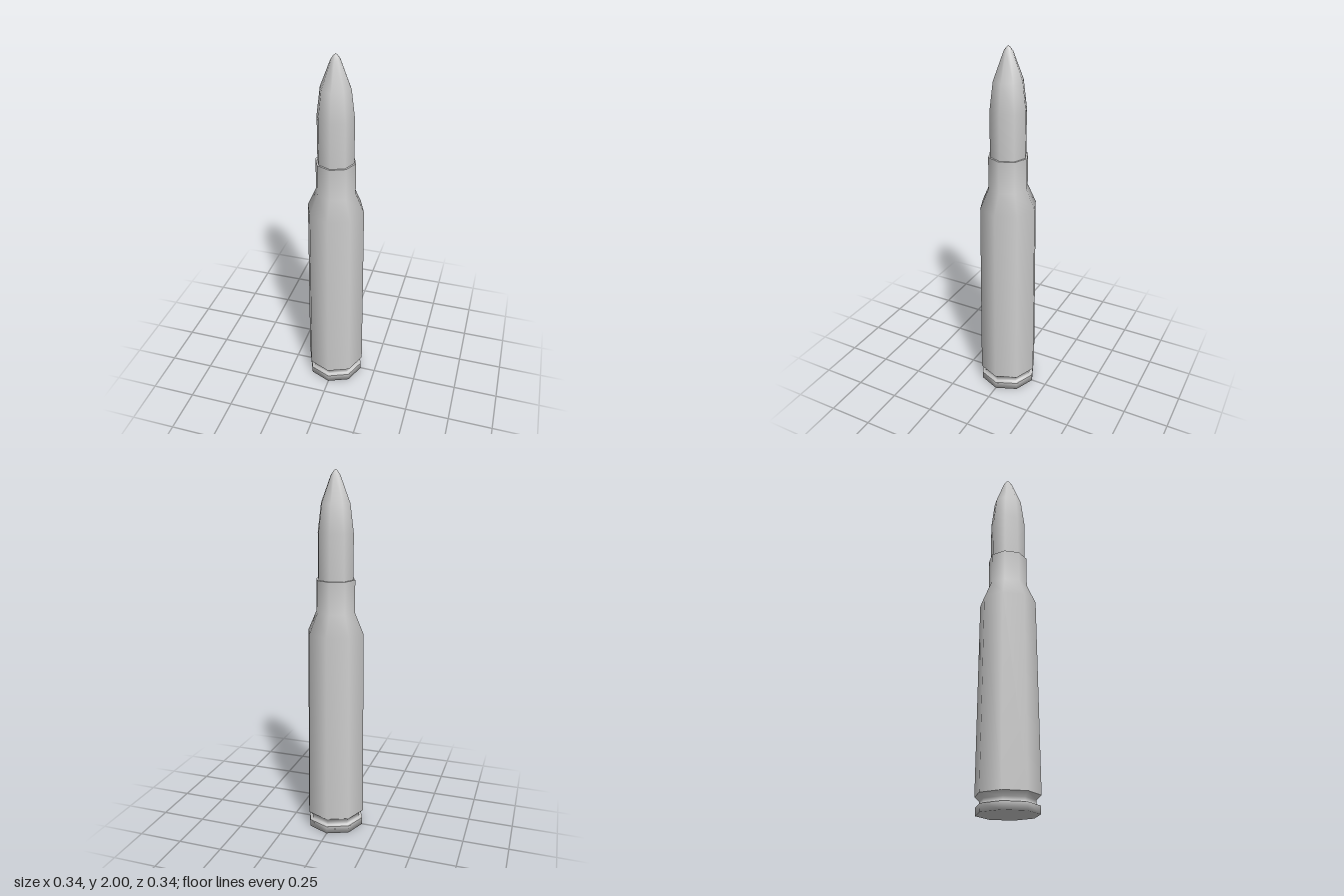
import * as THREE from 'three';

const SIDES = 8;

// Revolves a [radius, height] profile, listed from bottom to top, into a smooth eight-sided part
function turned(name, profile) {
  const points = profile.map(([r, y]) => new THREE.Vector2(r, y));
  const material = new THREE.MeshStandardMaterial({ color: 0xcccccc, side: THREE.DoubleSide });
  const mesh = new THREE.Mesh(new THREE.LatheGeometry(points, SIDES), material);
  mesh.name = name;
  return mesh;
}

export function createModel() {
  const group = new THREE.Group();
  group.name = 'cartridge';

  // Closed base with its rim, and the extractor groove above it
  group.add(turned('baseRim', [[0, 0], [0.163, 0], [0.163, 0.042]]));
  group.add(turned('extractorGroove', [[0.163, 0.042], [0.143, 0.044], [0.143, 0.068], [0.168, 0.092]]));

  // Tapered case, shoulder and neck
  group.add(turned('case', [[0.168, 0.092], [0.157, 1.15], [0.109, 1.26], [0.109, 1.437]]));

  // Flat lip between the neck and the bullet
  group.add(turned('caseMouth', [[0.109, 1.437], [0.099, 1.437]]));

  // Bullet with a pointed nose
  group.add(turned('bullet', [
    [0.099, 1.437], [0.099, 1.68], [0.08, 1.83], [0.026, 1.97], [0.012, 1.99], [0, 2],
  ]));

  return group;
}
